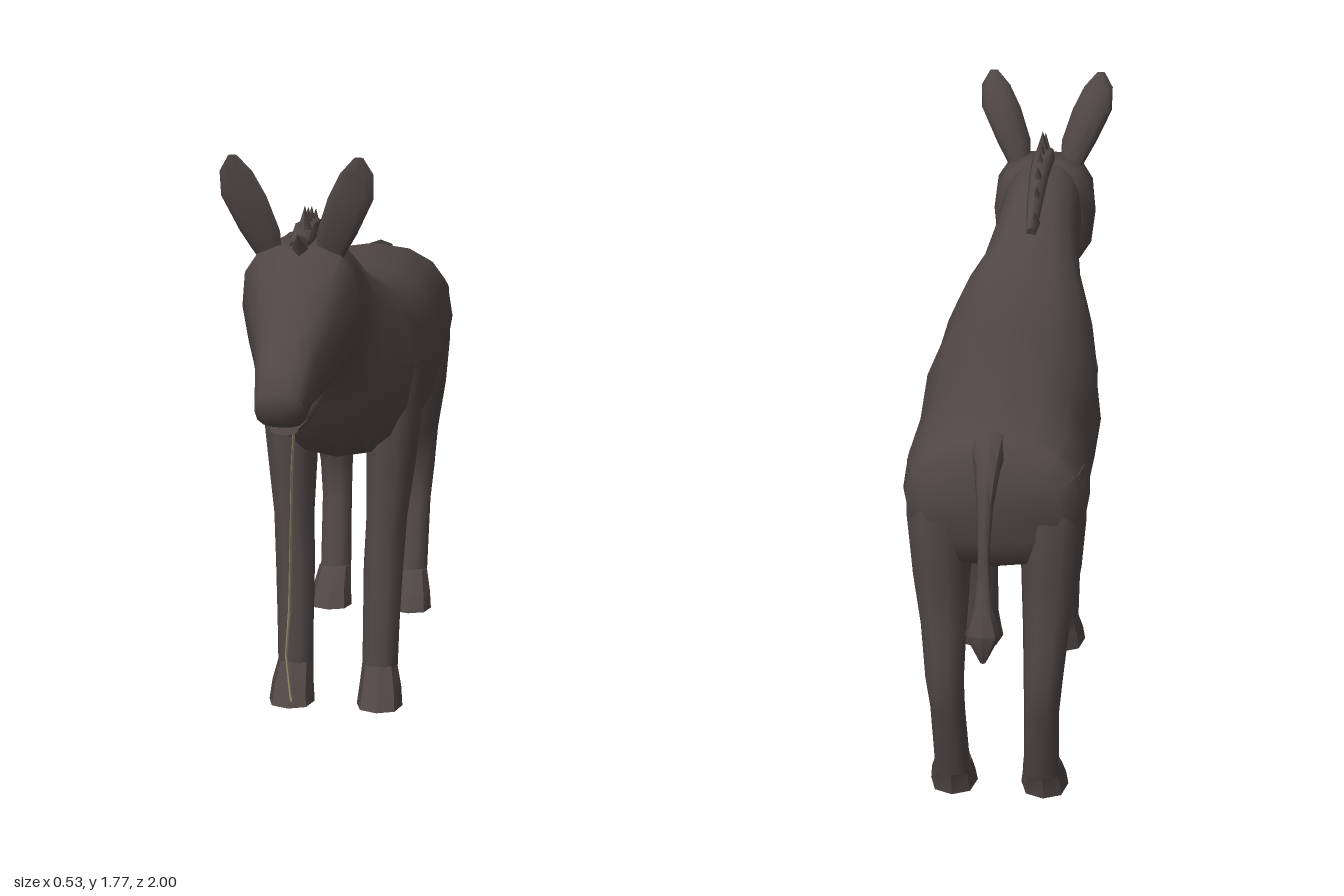
import * as THREE from 'three';
import { toCreasedNormals } from 'three/addons/utils/BufferGeometryUtils.js';

// Loft through rings. Each ring: [zA, yA, zB, yB, halfWidth, centreX], where A and B
// are its two ends in the side plane. "square" < 1 makes rings boxier, "dent" scales the A half.
function loft(rings, { sides = 12, square = 0.85, dent = 1, crease = 0.9 } = {}) {
  const pos = [], idx = [];
  const pw = (v) => Math.sign(v) * Math.abs(v) ** square;
  for (const [zA, yA, zB, yB, w, cx] of rings) {
    for (let i = 0; i < sides; i++) {
      const a = (i / sides) * Math.PI * 2;
      const c = pw(Math.cos(a)) * w;
      let s = pw(Math.sin(a));
      if (s > 0) s *= dent;
      pos.push(cx + c, (yA + yB) / 2 + (s * (yA - yB)) / 2, (zA + zB) / 2 + (s * (zA - zB)) / 2);
    }
  }
  const n = rings.length;
  for (let r = 0; r < n - 1; r++) {
    for (let i = 0; i < sides; i++) {
      const j = (i + 1) % sides, a = r * sides + i, b = r * sides + j;
      idx.push(a, b, b + sides, a, b + sides, a + sides);
    }
  }
  // end caps
  for (const [r, flip] of [[0, true], [n - 1, false]]) {
    const [zA, yA, zB, yB, , cx] = rings[r];
    const m = pos.length / 3;
    pos.push(cx, (yA + yB) / 2, (zA + zB) / 2);
    for (let i = 0; i < sides; i++) {
      const a = r * sides + i, b = r * sides + ((i + 1) % sides);
      if (flip) idx.push(m, b, a); else idx.push(m, a, b);
    }
  }
  // turn the faces outward whatever the direction of the loft
  const p = (i) => new THREE.Vector3().fromArray(pos, i * 3);
  let vol = 0;
  for (let i = 0; i < idx.length; i += 3) vol += p(idx[i]).dot(p(idx[i + 1]).cross(p(idx[i + 2])));
  if (vol < 0) idx.reverse();
  const g = new THREE.BufferGeometry();
  g.setAttribute('position', new THREE.Float32BufferAttribute(pos, 3));
  g.setIndex(idx);
  return toCreasedNormals(g, crease);
}

export function createModel() {
  const model = new THREE.Group();
  model.name = 'donkey';
  const coat = new THREE.MeshStandardMaterial({ name: 'dark brown coat', color: 0x514646 });
  const straw = new THREE.MeshStandardMaterial({ name: 'straw rope', color: 0x9a8e6c, side: THREE.DoubleSide });
  const add = (name, geometry, material = coat) => {
    const mesh = new THREE.Mesh(geometry, material);
    mesh.name = name;
    model.add(mesh);
    return mesh;
  };
  const hx = -0.035; // the head is turned slightly off the centre line

  // trunk and neck in one skin, rump to poll
  add('bodyAndNeck', loft([
    [-0.835, 1.13, -0.82, 0.9, 0.19, 0],
    [-0.79, 1.215, -0.79, 0.82, 0.24, 0],
    [-0.70, 1.24, -0.68, 0.77, 0.26, 0],
    [-0.50, 1.28, -0.47, 0.71, 0.25, 0],
    [-0.20, 1.285, -0.20, 0.725, 0.265, 0],
    [0.00, 1.30, -0.02, 0.74, 0.245, 0],
    [0.12, 1.33, 0.12, 0.755, 0.235, 0],
    [0.20, 1.36, 0.21, 0.78, 0.215, 0],
    [0.28, 1.41, 0.28, 0.94, 0.165, -0.015],
    [0.38, 1.48, 0.41, 1.10, 0.135, -0.025],
    [0.50, 1.53, 0.52, 1.21, 0.125, hx],
    [0.60, 1.53, 0.60, 1.22, 0.12, hx],
  ], { sides: 16 }));

  // head and upper muzzle
  add('head', loft([
    [0.50, 1.48, 0.53, 1.24, 0.10, hx],
    [0.58, 1.53, 0.55, 1.18, 0.15, hx],
    [0.70, 1.525, 0.62, 1.16, 0.163, hx],
    [0.80, 1.42, 0.72, 1.12, 0.125, hx],
    [0.90, 1.31, 0.80, 1.10, 0.09, -0.04],
    [0.96, 1.245, 0.86, 1.11, 0.08, -0.042],
    [1.00, 1.185, 0.94, 1.08, 0.068, -0.045],
    [1.00, 1.15, 0.97, 1.09, 0.045, -0.045],
  ], { sides: 14, square: 0.72 }));
  add('lowerJaw', loft([
    [0.72, 1.2, 0.66, 1.13, 0.09, hx],
    [0.82, 1.14, 0.76, 1.07, 0.075, -0.04],
    [0.87, 1.115, 0.83, 1.05, 0.06, -0.042],
    [0.89, 1.085, 0.91, 1.05, 0.04, -0.045],
  ]));

  for (const s of [1, -1]) {
    const side = s > 0 ? 'left' : 'right';
    // cupped ears, open to the front
    add(side + 'Ear', loft([
      [0.71, 1.49, 0.64, 1.49, 0.035, hx + s * 0.085],
      [0.75, 1.56, 0.645, 1.56, 0.055, hx + s * 0.105],
      [0.765, 1.66, 0.67, 1.66, 0.062, hx + s * 0.145],
      [0.76, 1.73, 0.705, 1.73, 0.045, hx + s * 0.163],
      [0.75, 1.775, 0.735, 1.775, 0.012, hx + s * 0.17],
    ], { dent: 0.25 }));

    // front leg, shoulder to fetlock
    add(side + 'FrontLeg', loft([
      [0.19, 1.08, -0.02, 1.02, 0.08, s * 0.16],
      [0.21, 0.88, -0.05, 0.86, 0.085, s * 0.155],
      [0.205, 0.74, -0.02, 0.74, 0.075, s * 0.15],
      [0.21, 0.58, 0.04, 0.58, 0.062, s * 0.142],
      [0.22, 0.42, 0.085, 0.42, 0.06, s * 0.135],
      [0.235, 0.25, 0.115, 0.25, 0.056, s * 0.132],
      [0.245, 0.09, 0.135, 0.09, 0.054, s * 0.13],
    ], { sides: 10 }));

    // hind leg, haunch to fetlock
    add(side + 'HindLeg', loft([
      [-0.60, 1.10, -0.81, 1.10, 0.08, s * 0.165],
      [-0.56, 0.92, -0.835, 0.94, 0.092, s * 0.16],
      [-0.57, 0.78, -0.825, 0.78, 0.085, s * 0.155],
      [-0.68, 0.60, -0.825, 0.61, 0.065, s * 0.145],
      [-0.74, 0.44, -0.845, 0.47, 0.055, s * 0.14],
      [-0.72, 0.34, -0.82, 0.35, 0.05, s * 0.135],
      [-0.65, 0.09, -0.75, 0.10, 0.052, s * 0.13],
    ], { sides: 10 }));

    // hooves flare forward
    for (const [name, front, back] of [['FrontHoof', 0.32, 0.15], ['HindHoof', -0.54, -0.70]]) {
      const lean = name === 'HindHoof' ? -0.02 : 0;
      add(side + name, loft([
        [front - 0.075 + lean, 0.13, back - 0.015 + lean, 0.11, 0.054, s * 0.13],
        [front - 0.03, 0.06, back - 0.01, 0.06, 0.064, s * 0.135],
        [front, 0.01, back, 0, 0.07, s * 0.135],
      ], { sides: 8, crease: 0.6 }));
    }
  }

  // upright mane: low ridge with leaning tufts
  add('maneRidge', loft([
    [0.26, 1.425, 0.28, 1.37, 0.015, -0.02],
    [0.36, 1.51, 0.39, 1.44, 0.025, -0.025],
    [0.46, 1.56, 0.47, 1.48, 0.03, -0.03],
    [0.58, 1.57, 0.58, 1.50, 0.035, hx],
    [0.70, 1.54, 0.68, 1.48, 0.03, hx],
  ], { sides: 8 }));
  const tufts = [[0.30, 1.43, -0.5], [0.36, 1.49, -0.4], [0.42, 1.53, -0.3], [0.49, 1.55, -0.1],
    [0.55, 1.56, 0], [0.61, 1.575, 0.1], [0.72, 1.54, 0.9]];
  for (const [z, y, lean] of tufts) {
    const tuft = add('maneTuft', new THREE.ConeGeometry(0.04, 0.085, 5));
    tuft.position.set(-0.03, y, z);
    tuft.rotation.x = lean;
    tuft.scale.x = 0.7;
  }

  // tail with a pointed tuft
  add('tail', loft([
    [-0.78, 1.235, -0.80, 1.13, 0.05, 0.01],
    [-0.855, 1.18, -0.83, 1.10, 0.035, 0.01],
    [-0.915, 1.07, -0.87, 1.04, 0.022, 0.012],
    [-0.935, 0.92, -0.905, 0.92, 0.016, 0.014],
    [-0.955, 0.78, -0.93, 0.78, 0.022, 0.014],
    [-1.0, 0.71, -0.92, 0.69, 0.05, 0.014],
    [-0.965, 0.61, -0.95, 0.61, 0.008, 0.014],
  ], { sides: 8 }));

  // hanging lead rope, a flat strap
  add('leadRope', loft([
    [0.455, 1.14, 0.43, 1.13, 0.004, -0.08],
    [0.565, 0.85, 0.54, 0.845, 0.004, -0.08],
    [0.62, 0.64, 0.597, 0.63, 0.004, -0.076],
    [0.672, 0.45, 0.65, 0.46, 0.004, -0.073],
    [0.745, 0.36, 0.735, 0.34, 0.004, -0.07],
    [0.97, 0.325, 0.97, 0.305, 0.004, -0.02],
  ], { sides: 4, square: 1 }), straw);

  return model;
}
